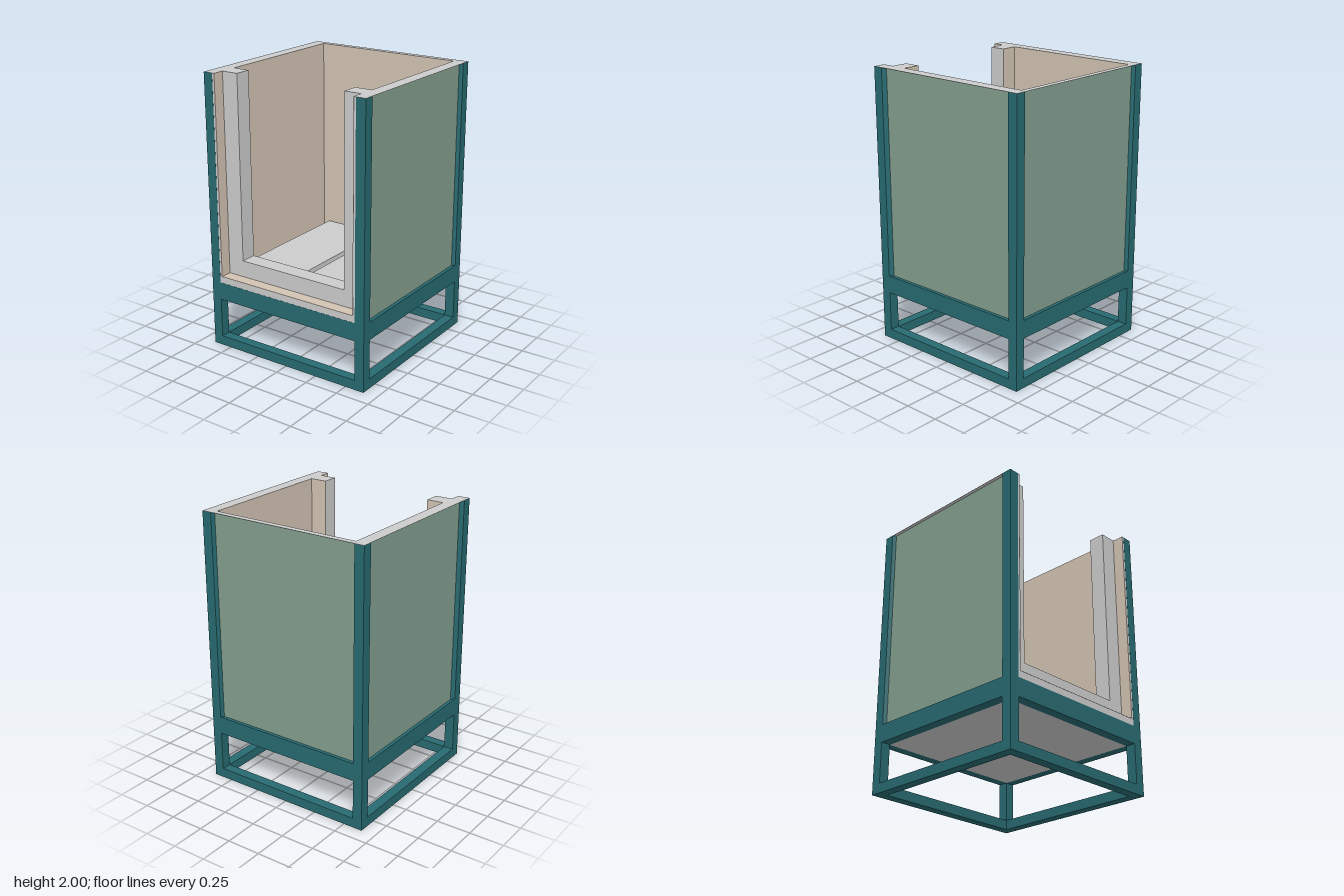
import * as THREE from 'three';

const mat = (color) => new THREE.MeshStandardMaterial({ color, flatShading: true });

export function createModel() {
  const model = new THREE.Group();
  const grey = mat(0xcccccc), teal = mat(0x276a70), green = mat(0x839e8e), tan = mat(0xd2c3b2);

  // Box given by its limits on each axis
  function box(name, m, [x0, x1], [y0, y1], [z0, z1]) {
    const mesh = new THREE.Mesh(new THREE.BoxGeometry(x1 - x0, y1 - y0, z1 - z0), m);
    mesh.position.set((x0 + x1) / 2, (y0 + y1) / 2, (z0 + z1) / 2);
    mesh.name = name;
    model.add(mesh);
    return mesh;
  }
  // Upright prism from (x, z) corners
  function prism(name, m, pts, y0, y1) {
    let p = pts.map(([x, z]) => new THREE.Vector2(x, -z));
    const geo = new THREE.ExtrudeGeometry(new THREE.Shape(p), { depth: y1 - y0, bevelEnabled: false });
    geo.rotateX(-Math.PI / 2).translate(0, y0, 0);
    const mesh = new THREE.Mesh(geo, m);
    mesh.name = name;
    model.add(mesh);
  }
  // Same x limits on the side s = 1 (left) or -1 (right)
  const side = (s, a, b) => (s > 0 ? [a, b] : [-b, -a]);

  const R = 0.645, P = 0.573, F = 0.62, TOP = 1.999, T = 0.002;

  // Corner posts and rails
  for (const s of [1, -1]) {
    for (const f of [1, -1]) box('cornerPost', teal, side(s, P, R), [0, TOP], side(f, P, R));
    box('sideBottomRail', teal, side(s, P, R), [0, 0.07], [-P, P]);
    box('sideMiddleRail', teal, side(s, P, R), [0.36, 0.49], [-P, P]);
    box(s > 0 ? 'frontBottomRail' : 'backBottomRail', teal, [-P, P], [0, 0.07], side(s, P, R));
    box(s > 0 ? 'frontMiddleRail' : 'backMiddleRail', teal, [-P, P], [0.36, 0.49], side(s, P, R));
  }

  // Recessed outer panels with sloping trim beside the posts
  for (const s of [1, -1]) {
    box('sidePanel', green, side(s, 0.6, F), [0.49, TOP], [-P, P]);
    prism('sideFrontTrim', teal, [[s * R, P], [s * F, P], [s * F, 0.55]], 0.49, TOP);
    prism('sideBackTrim', teal, [[s * R, -P], [s * F, -P], [s * F, -0.56]], 0.49, TOP);
    prism('backTrim', teal, [[s * P, -R], [s * P, -F], [s * 0.56, -F]], 0.49, TOP);
  }
  box('backPanel', green, [-P, P], [0.49, TOP], [-F, -0.605]);

  // Grey base, walls and stepped front frame
  box('base', grey, [-P, P], [0.36, 0.49], [-P, P]);
  box('floorSlab', grey, [-P, P], [0.49, 0.54 - T], [-0.604, R - 0.001]);
  for (const s of [1, -1]) {
    box('sideWall', grey, side(s, 0.555 + T, 0.6), [0.49, TOP], [-0.604, P]);
    box('frontWallEdge', grey, side(s, 0.555 + T, P), [0.49, TOP], [P, R - 0.001]);
    box('frameUpright', grey, side(s, 0.43, 0.555), [0.66, TOP], [0.44 + T, 0.56]);
    box('frameUprightLining', tan, side(s, 0.43, 0.555), [0.66, TOP], [0.44, 0.44 + T]);
    box('sideLining', tan, side(s, 0.555, 0.555 + T), [0.54, TOP], [-0.6, 0.44]);
    box('recessLining', tan, side(s, 0.555, 0.555 + T), [0.54, TOP], [0.56, R]);
  }
  box('frameSill', grey, [-0.555, 0.555], [0.54, 0.66], [0.44 + T, 0.56]);
  box('frameSillLining', tan, [-0.555, 0.555], [0.54, 0.66], [0.44, 0.44 + T]);
  box('backLining', tan, [-0.557, 0.557], [0.54, TOP], [-0.604, -0.6]);
  box('floorLining', tan, [-0.555, 0.555], [0.54 - T, 0.54], [-0.6, 0.44]);
  box('recessLedge', tan, [-0.555, 0.555], [0.54 - T, 0.54], [0.56, R]);

  // Two raised floor plates
  for (const x of [-0.48, 0.018]) box('floorPlate', grey, [x, x + 0.453], [0.54, 0.606], [-0.562, 0.398]);

  // Thin top rim covering the walls, posts and front frame
  const half = [[R, -R], [R, R], [0.555, R], [0.555, 0.56], [0.43, 0.56], [0.43, 0.44], [0.555, 0.44], [0.555, -0.6]];
  const outline = [...half, ...half.map(([x, z]) => [-x, z]).reverse()];
  prism('topRim', grey, outline, TOP, 2);

  return model;
}
